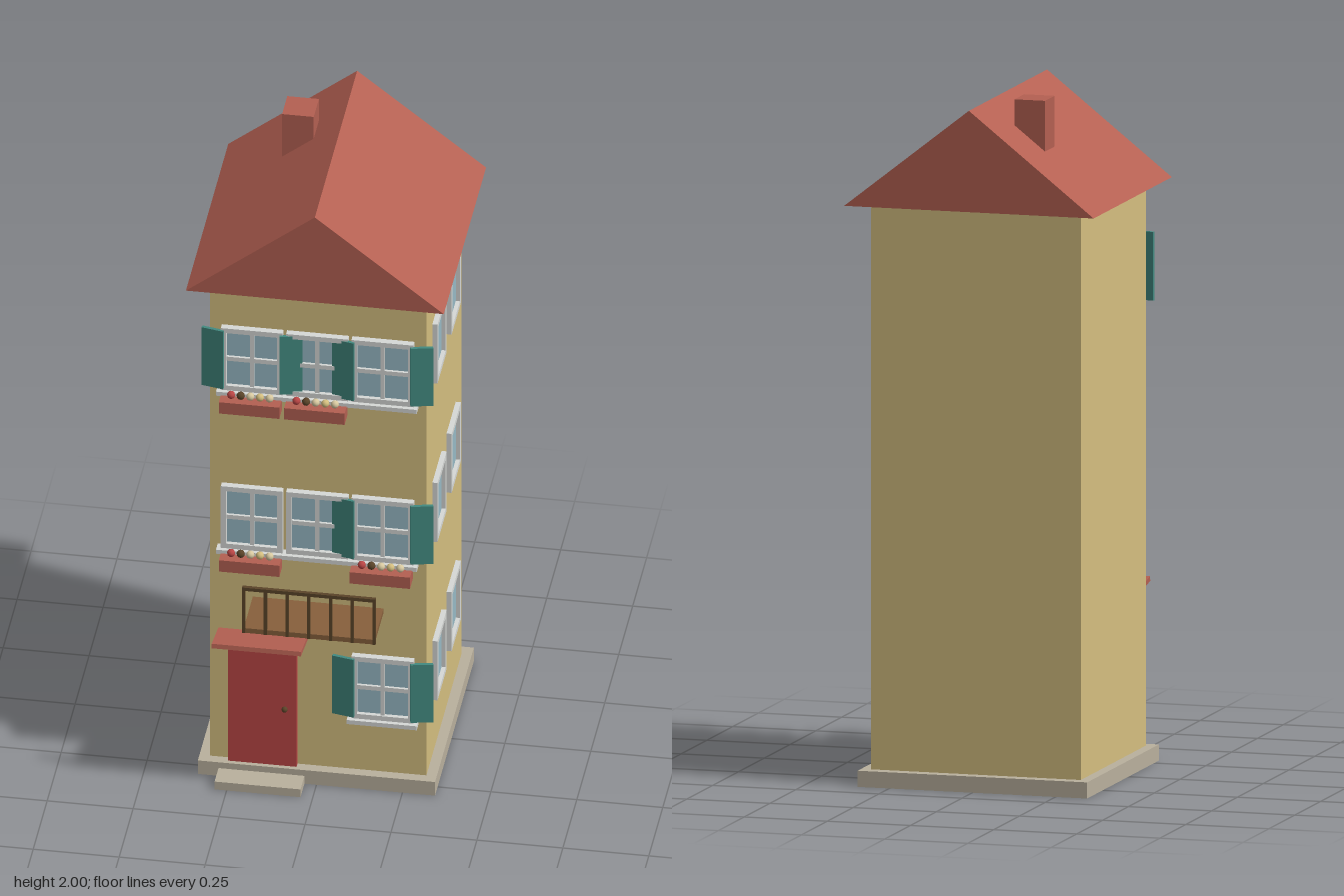
import * as THREE from 'three';

const material = (name, color) => {
  const m = new THREE.MeshStandardMaterial({ color });
  m.name = name;
  return m;
};

export function createModel() {
  const house = new THREE.Group();
  house.name = 'townhouse';
  const wall = material('ochre plaster', 0xd4be7f);
  const tile = material('terracotta', 0xb46052);
  const stone = material('stone', 0xb9b09d);
  const white = material('white frame', 0xd6d8d6);
  const glass = material('glass', 0x97b9c5);
  const teal = material('teal shutter', 0x428a80);
  const red = material('red door', 0xba4645);
  const wood = material('balcony wood', 0x87603c);
  const dark = material('dark railing', 0x5a4429);
  const cream = material('cream petals', 0xd8c9a0);

  const FRONT = 0.265, SIDE = 0.315;

  // Box given by its lower and upper corners
  const box = (name, mat, a, b, parent = house) => {
    const mesh = new THREE.Mesh(new THREE.BoxGeometry(b[0] - a[0], b[1] - a[1], b[2] - a[2]), mat);
    mesh.position.set((a[0] + b[0]) / 2, (a[1] + b[1]) / 2, (a[2] + b[2]) / 2);
    mesh.name = name;
    parent.add(mesh);
    return mesh;
  };

  // Body, base and step
  box('walls', wall, [-SIDE, 0.04, -0.365], [SIDE, 1.7, FRONT]);
  box('base', stone, [-0.345, 0, -0.4], [0.345, 0.047, 0.295]);
  box('doorStep', stone, [-0.285, 0, 0.28], [-0.035, 0.027, 0.365]);

  // Gable roof and chimney
  const gable = new THREE.Shape([[-0.375, 1.695], [0.375, 1.695], [0, 1.99]].map(p => new THREE.Vector2(...p)));
  const roof = new THREE.Mesh(new THREE.ExtrudeGeometry(gable, { depth: 0.758, bevelEnabled: false }), tile);
  roof.position.z = -0.434;
  roof.name = 'roof';
  house.add(roof);
  box('chimney', tile, [-0.175, 1.78, -0.26], [-0.083, 2, -0.167]);

  // Rectangular frame with an opening, its back on z = 0
  const frameGeometry = (w, h, border, depth) => {
    const rect = (Type, x, y) => new Type([[-x, -y], [x, -y], [x, y], [-x, y]].map(p => new THREE.Vector2(...p)));
    const shape = rect(THREE.Shape, w / 2, h / 2);
    shape.holes.push(rect(THREE.Path, w / 2 - border, h / 2 - border));
    return new THREE.ExtrudeGeometry(shape, { depth, bevelEnabled: false });
  };
  const makeWindow = (name, w, h, border, bars) => {
    const g = new THREE.Group();
    g.name = name;
    const frame = new THREE.Mesh(frameGeometry(w, h, border, 0.02), white);
    frame.name = 'windowFrame';
    g.add(frame);
    box('windowPane', glass, [-w / 2 + 0.01, -h / 2 + 0.01, 0], [w / 2 - 0.01, h / 2 - 0.01, 0.008], g);
    if (bars) {
      box('uprightBar', white, [-0.006, -h / 2 + border, 0.004], [0.006, h / 2 - border, 0.016], g);
      box('crossBar', white, [-w / 2 + border, -0.007, 0.004], [w / 2 - border, 0.007, 0.016], g);
    }
    house.add(g);
    return g;
  };

  // Flower box with a row of blossoms, hung under a window
  const petals = [red, dark, cream, wall, cream];
  const flowerBox = (x, y) => {
    const g = new THREE.Group();
    g.name = 'flowerBox';
    box('planter', tile, [-0.088, -0.157, 0.015], [0.088, -0.118, 0.068], g);
    petals.forEach((mat, i) => {
      const flower = new THREE.Mesh(new THREE.SphereGeometry(0.012, 10, 8), mat);
      flower.position.set((i - 2) * 0.028, -0.105, 0.044);
      flower.name = 'flower';
      g.add(flower);
    });
    g.position.set(x, y, FRONT);
    house.add(g);
  };

  // Front windows: column x, row y, shutters, flowers
  const frontWindows = [
    [0.19, 0.343, true, false],
    [-0.19, 0.893, false, true], [0, 0.893, false, false], [0.19, 0.893, true, true],
    [-0.19, 1.442, true, true], [0, 1.442, false, true], [0.19, 1.442, true, false],
  ];
  for (const [x, y, shutters, flowers] of frontWindows) {
    const g = makeWindow('frontWindow', 0.18, 0.214, 0.016, true);
    g.position.set(x, y, FRONT);
    box('sill', white, [-0.102, -0.121, 0], [0.102, -0.107, 0.032], g);
    if (shutters) {
      for (const s of [-1, 1]) {
        const shutter = box('shutter', teal, [-0.033, -0.1, -0.005], [0.033, 0.1, 0.005], g);
        shutter.position.set(s * 0.114, 0, 0.016);
        shutter.rotation.y = s * 0.2;
      }
    }
    if (flowers) flowerBox(x, y);
  }

  // Windows on the left wall
  for (const y of [0.34, 0.89, 1.44]) {
    for (const z of [0.077, -0.177]) {
      const g = makeWindow('sideWindow', 0.164, 0.205, 0.017, false);
      g.position.set(SIDE - 0.005, y, z);
      g.rotation.y = Math.PI / 2;
    }
  }

  // Door, knob and tilted canopy
  box('door', red, [-0.26, 0.047, FRONT - 0.005], [-0.06, 0.462, 0.282]);
  const knob = new THREE.Mesh(new THREE.SphereGeometry(0.009, 12, 8), dark);
  knob.position.set(-0.094, 0.245, 0.286);
  knob.name = 'doorKnob';
  house.add(knob);
  const canopy = box('doorCanopy', tile, [-0.29, 0.49, 0.262], [-0.03, 0.504, 0.389]);
  canopy.position.y = 0.5;
  canopy.rotation.x = -0.2;

  // Balcony with front railing
  box('balconyFloor', wood, [-0.19, 0.597, 0.26], [0.19, 0.613, 0.428]);
  for (let i = -3; i <= 3; i++) {
    const x = i * 0.0632;
    box('railPost', dark, [x - 0.0045, 0.6, 0.425], [x + 0.0045, 0.752, 0.434]);
  }
  box('handRail', dark, [-0.194, 0.747, 0.424], [0.194, 0.758, 0.435]);

  return house;
}
